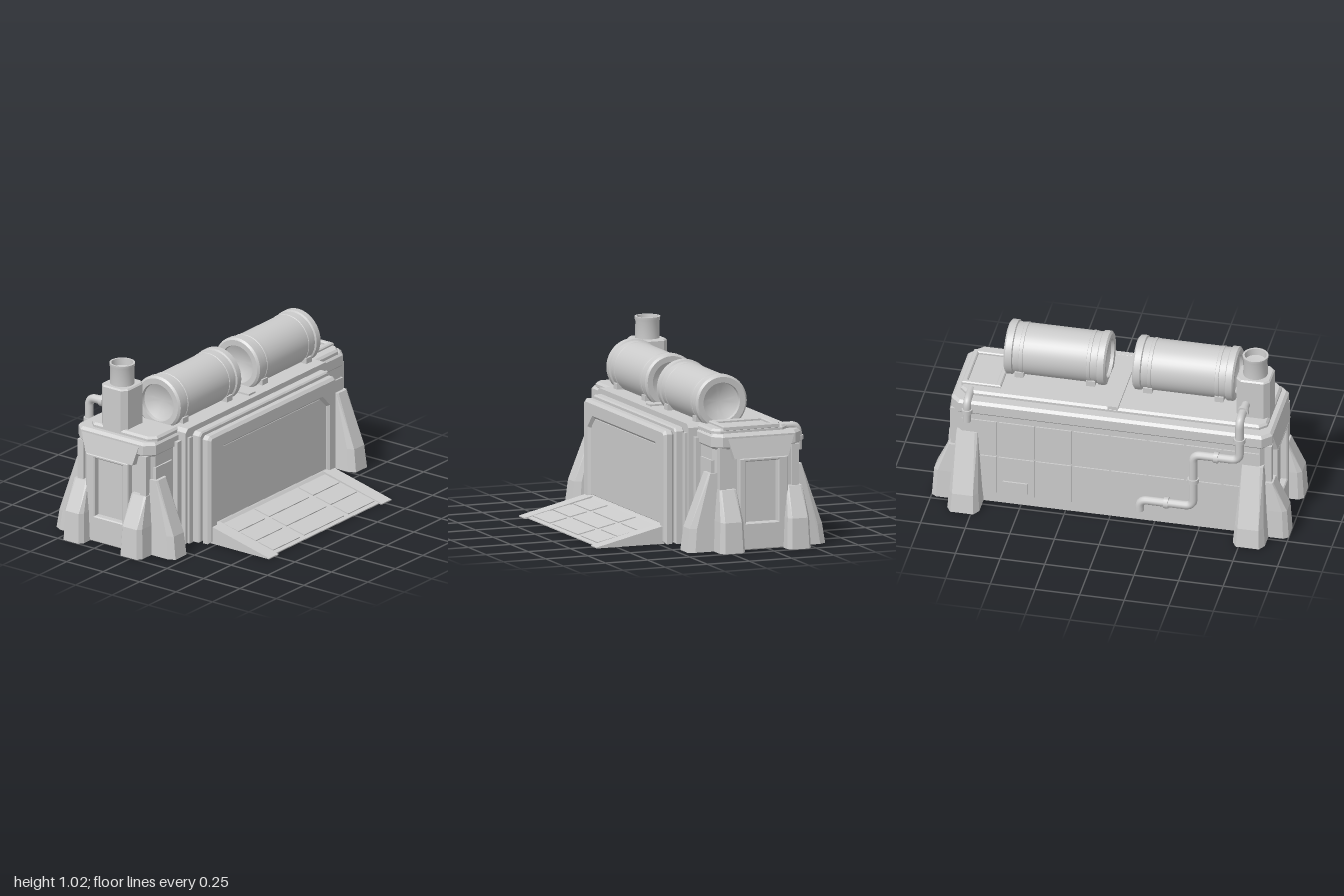
import * as THREE from 'three';
import { toCreasedNormals } from 'three/addons/utils/BufferGeometryUtils.js';
import { ConvexGeometry } from 'three/addons/geometries/ConvexGeometry.js';

const material = new THREE.MeshStandardMaterial({ color: 0xcccccc, side: THREE.DoubleSide });

export function createModel() {
  const model = new THREE.Group();
  const V = (x, y, z) => new THREE.Vector3(x, y, z);

  function add(name, geometry, parent = model) {
    const mesh = new THREE.Mesh(geometry, material);
    mesh.name = name;
    parent.add(mesh);
    return mesh;
  }
  // Box given by its lower and upper corners
  function box(name, x0, x1, y0, y1, z0, z1) {
    const mesh = add(name, new THREE.BoxGeometry(x1 - x0, y1 - y0, z1 - z0));
    mesh.position.set((x0 + x1) / 2, (y0 + y1) / 2, (z0 + z1) / 2);
    return mesh;
  }
  const shapeOf = (pts) => new THREE.Shape(pts.map((p) => new THREE.Vector2(...p)));
  const extrude = (shape, depth, bevel = 0) => new THREE.ExtrudeGeometry(shape, {
    depth: depth - 2 * bevel, bevelEnabled: bevel > 0, bevelSize: bevel,
    bevelThickness: bevel, bevelOffset: -bevel, bevelSegments: 1,
  }).translate(0, 0, bevel);
  // Plan outline of [x, z] points raised from y0 to y1
  function slab(name, pts, y0, y1, bevel = 0) {
    const geo = extrude(shapeOf(pts.map(([x, z]) => [x, -z])), y1 - y0, bevel);
    return add(name, geo.rotateX(-Math.PI / 2).translate(0, y0, 0));
  }
  const plan = (x, z0, z1, c) => [[-x + c, z1], [x - c, z1], [x, z1 - c], [x, z0 + c],
    [x - c, z0], [-x + c, z0], [-x, z0 + c], [-x, z1 - c]];

  // Hull: plan with a notch for the loading bay, then cornice and roof
  slab('hull', [[-0.5, 0.05], [-0.5, -0.1], [0.5, -0.1], [0.5, 0.05], [0.84, 0.05], [0.88, 0.01],
    [0.88, -0.42], [0.84, -0.46], [-0.84, -0.46], [-0.88, -0.42], [-0.88, 0.01], [-0.84, 0.05]], 0, 0.58);
  slab('cornice', plan(0.9, -0.47, 0.06, 0.05), 0.56, 0.645, 0.015);
  slab('roof', plan(0.86, -0.4, 0.05, 0.04), 0.63, 0.67, 0.012);
  box('bayFloor', -0.5, 0.5, 0, 0.1, -0.1, 0.16);
  box('roofRidge', -0.03, 0.03, 0.66, 0.68, -0.4, 0.08);

  // Layered portal around the bay, with chamfered upper corners
  const opening = (x, y1, y0 = 0.1, c = 0.06) =>
    [[-x, y0], [x, y0], [x, y1 - c], [x - c, y1], [-x + c, y1], [-x, y1 - c]];
  function portal(name, x, y, z0, z1, hx, hy, bevel) {
    const shape = shapeOf([[-x, 0], [x, 0], [x, y - 0.02], [x - 0.02, y], [-x + 0.02, y], [-x, y - 0.02]]);
    shape.holes.push(new THREE.Path(shapeOf(opening(hx, hy)).getPoints()));
    add(name, extrude(shape, z1 - z0, bevel).translate(0, 0, z0));
  }
  portal('portalBack', 0.645, 0.67, -0.08, 0.11, 0.48, 0.52, 0);
  portal('portalMiddle', 0.59, 0.645, 0.11, 0.165, 0.48, 0.52, 0.008);
  portal('portalFront', 0.58, 0.63, 0.165, 0.225, 0.5, 0.535, 0.015);
  const trim = shapeOf(opening(0.505, 0.54));
  trim.holes.push(new THREE.Path(shapeOf(opening(0.475, 0.515, 0.11)).getPoints()));
  add('openingTrim', extrude(trim, 0.04, 0.008).translate(0, 0, 0.17));

  // Shutter slats on the bay's rear wall
  for (let row = 0; row < 5; row++) {
    for (let col = 0; col < 3; col++) {
      const x = -0.48 + [0, 0.32, 0.65][col];
      const slat = box('shutterSlat', x + 0.005, x + 0.31, 0.1 + row * 0.088, 0.18 + row * 0.088, -0.105, -0.085);
      slat.rotation.x = -0.12;
    }
  }
  for (const x of [-0.165, 0.165]) box('shutterRib', x - 0.015, x + 0.015, 0.1, 0.53, -0.1, -0.075);

  // Loading ramp: wedge, side rails and deck plates
  const wedge = (top, toe) => shapeOf([[-0.2, 0], [-toe, 0], [-toe, 0.006], [-0.2, top]]);
  const ramp = (name, x0, x1, top, toe) =>
    add(name, extrude(wedge(top, toe), x1 - x0).rotateY(Math.PI / 2).translate(x0, 0, 0));
  ramp('rampDeck', -0.48, 0.48, 0.092, 0.595);
  ramp('rampRail', -0.555, -0.47, 0.104, 0.615);
  ramp('rampRail', 0.47, 0.555, 0.104, 0.615);
  for (let row = 0; row < 3; row++) {
    for (const [x0, x1] of [[-0.46, -0.22], [-0.18, 0.18], [0.22, 0.46]]) {
      const z = 0.28 + row * 0.12;
      const plate = box('rampPlate', x0, x1, 0, 0.012, z - 0.052, z + 0.052);
      plate.position.y = 0.092 - (z - 0.2) * 0.218;
      plate.rotation.x = 0.214;
    }
  }

  // Tapered buttress leaning on a wall at local z = 0
  function buttress(name, x, z, angle, w, out, h, knee) {
    const pts = [];
    for (const [y, half, d] of [[0, w / 2, out], [knee, w * 0.45, out * 0.9], [h, w * 0.33, out * 0.18]]) {
      for (const s of [-1, 1]) {
        pts.push(V(s * half, y, -0.04), V(s * half, y, d * 0.75), V(s * half * 0.72, y, d));
      }
    }
    const mesh = add(name, new ConvexGeometry(pts));
    mesh.position.set(x, 0, z);
    mesh.rotation.y = angle;
  }

  for (const s of [-1, 1]) {
    buttress('frontButtress', s * 0.82, 0.05, 0, 0.14, 0.16, 0.43, 0.13);
    buttress('rearButtress', s * 0.8, -0.45, Math.PI, 0.18, 0.16, 0.45, 0.11);
    buttress('sideButtress', s * 0.89, -0.015, s * Math.PI / 2, 0.15, 0.11, 0.34, 0.17);
    buttress('sideButtress', s * 0.89, -0.41, s * Math.PI / 2, 0.14, 0.11, 0.34, 0.17);

    // End wall: framed recess under a sloping hood
    const frame = shapeOf([[0.08, 0], [0.37, 0], [0.37, 0.51], [0.08, 0.51]]);
    frame.holes.push(new THREE.Path(shapeOf([[0.12, 0.15], [0.31, 0.15], [0.31, 0.49], [0.12, 0.49]]).getPoints()));
    const side = add('endFrame', extrude(frame, 0.05, 0.006).rotateY(Math.PI / 2));
    side.position.x = s > 0 ? 0.87 : -0.92;
    add('endHood', new ConvexGeometry([[0.86, 0.64, -0.02, -0.41], [0.9, 0.62, -0.02, -0.41],
      [0.92, 0.51, -0.05, -0.37], [0.86, 0.5, -0.05, -0.37]]
      .flatMap(([x, y, a, b]) => [V(s * x, y, a), V(s * x, y, b)])));
    // Wing details beside the portal
    const strip = (name, a, b, y0, y1, z0, z1) =>
      box(name, Math.min(s * a, s * b), Math.max(s * a, s * b), y0, y1, z0, z1);
    strip('wingPost', 0.645, 0.68, 0, 0.6, 0.03, 0.08);
    strip('wingPanel', 0.7, 0.85, 0.06, 0.5, 0.03, 0.06);
    strip('cornerPost', 0.85, 0.9, 0, 0.57, -0.01, 0.03);
    strip('rearCornerPost', 0.85, 0.9, 0, 0.57, -0.44, -0.4);
    strip('portalRib', 0.6, 0.63, 0, 0.62, 0.1, 0.125);
  }

  // Roof hatch: raised frame on the left end
  const hatch = shapeOf([[0.64, 0.01], [0.86, 0.01], [0.86, 0.34], [0.64, 0.34]]);
  hatch.holes.push(new THREE.Path(shapeOf([[0.67, 0.04], [0.83, 0.04], [0.83, 0.31], [0.67, 0.31]]).getPoints()));
  add('hatchFrame', extrude(hatch, 0.03, 0.006).rotateX(-Math.PI / 2).translate(0, 0.655, 0));

  // Rear wall plating
  for (let i = 0; i < 8; i++) {
    const x = -0.84 + i * 0.21;
    box('rearUpperPlate', x + 0.006, x + 0.204, 0.31, 0.53, -0.468, -0.45);
    box('rearLowerPlate', x + 0.006, x + 0.204, 0.06, 0.3, -0.468, -0.45);
  }
  box('rearVent', 0.46, 0.6, 0.08, 0.15, -0.478, -0.46);

  // Horizontal tanks with dished ends and end hoops
  const half = [[0, 0.235], [0.06, 0.243], [0.105, 0.265], [0.108, 0.283], [0.14, 0.285], [0.152, 0.275],
    [0.152, 0.24], [0.143, 0.235], [0.143, 0.2], [0.146, 0.198], [0.146, 0.18], [0.143, 0.178]];
  const profile = [...half.map(([r, h]) => [r, -h]), ...[...half].reverse()].map((p) => new THREE.Vector2(...p));
  for (const x of [-0.355, 0.365]) {
    const tank = new THREE.Group();
    tank.name = 'tank';
    tank.position.set(x, 0.782, -0.087);
    model.add(tank);
    const shell = new THREE.LatheGeometry(profile, 40).rotateZ(Math.PI / 2);
    add('tankShell', toCreasedNormals(shell, 0.6), tank);
    for (const dx of [-0.2, 0.2]) {
      const cradle = add('tankCradle', new THREE.BoxGeometry(0.05, 0.06, 0.26), tank);
      cradle.position.set(dx, -0.11, 0);
    }
  }

  // Chimney: chamfered base and hollow flared stack
  const cx = -0.765, cz = -0.235;
  const base = plan(0.095, -0.09, 0.09, 0.03).map(([x, z]) => [x + cx, z + cz]);
  slab('chimneyBase', base, 0.65, 0.905, 0.008);
  const stack = [[0.068, 0], [0.066, 0.1], [0.07, 0.112], [0.071, 0.128], [0.06, 0.128], [0.057, 0.09], [0, 0.08]]
    .map((p) => new THREE.Vector2(...p));
  const stackMesh = add('chimneyStack', toCreasedNormals(new THREE.LatheGeometry(stack, 28), 0.6));
  stackMesh.position.set(cx, 0.897, cz);

  // Pipe with rounded bends, plus collars partway along long runs
  function pipe(name, pts, r, bend = 0.045) {
    const path = new THREE.CurvePath();
    let from = pts[0];
    for (let i = 1; i < pts.length; i++) {
      const p = pts[i];
      if (i === pts.length - 1) { path.add(new THREE.LineCurve3(from, p)); break; }
      const a = p.clone().add(pts[i - 1].clone().sub(p).setLength(bend));
      const b = p.clone().add(pts[i + 1].clone().sub(p).setLength(bend));
      path.add(new THREE.LineCurve3(from, a));
      path.add(new THREE.QuadraticBezierCurve3(a, p, b));
      from = b;
    }
    add(name, new THREE.TubeGeometry(path, 120, r, 12));
    for (let i = 1; i < pts.length; i++) {
      const dir = pts[i].clone().sub(pts[i - 1]);
      if (dir.length() < 0.12) continue;
      const collar = add(name + 'Collar', new THREE.CylinderGeometry(r + 0.008, r + 0.008, 0.025, 14));
      collar.position.copy(pts[i - 1]).addScaledVector(dir, 0.5);
      collar.quaternion.setFromUnitVectors(V(0, 1, 0), dir.normalize());
    }
  }
  pipe('exhaustPipe', [V(-0.73, 0.75, -0.3), V(-0.73, 0.75, -0.487), V(-0.73, 0.49, -0.487),
    V(-0.47, 0.49, -0.487), V(-0.47, 0.15, -0.487), V(-0.17, 0.15, -0.487), V(-0.17, 0.08, -0.487)], 0.024);
  pipe('cornerPipe', [V(0.8, 0.655, -0.36), V(0.8, 0.655, -0.475), V(0.8, 0.52, -0.475)], 0.022);

  return model;
}
